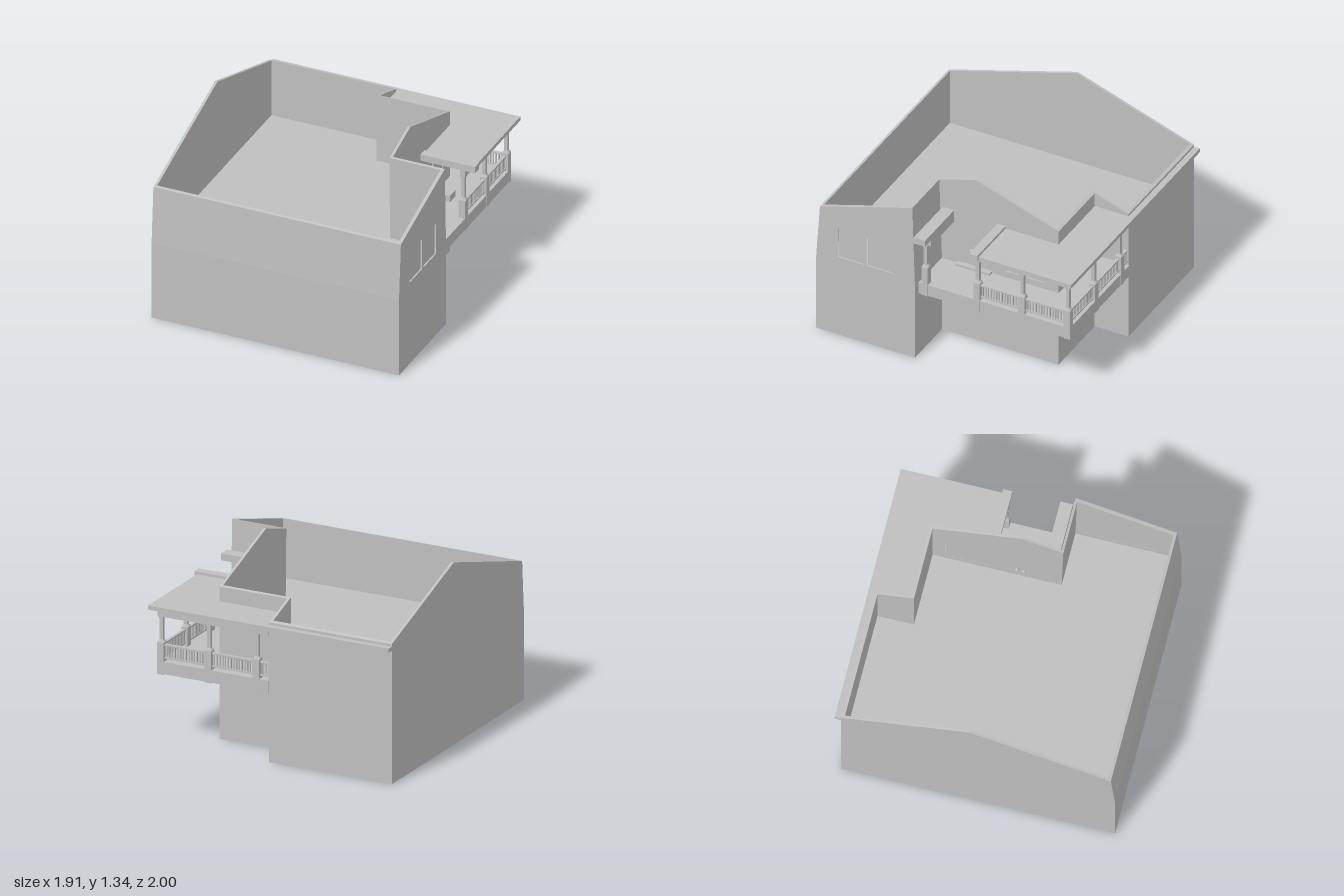
import * as THREE from 'three';

export function createModel() {
  const group = new THREE.Group();
  const plaster = new THREE.MeshStandardMaterial({ color: 0xbfbfbf });
  plaster.name = 'plain grey';

  const add = (name, geometry) => {
    const mesh = new THREE.Mesh(geometry, plaster);
    mesh.name = name;
    group.add(mesh);
    return mesh;
  };
  // box given by its limits on each axis
  const box = (name, x0, x1, y0, y1, z0, z1) =>
    add(name, new THREE.BoxGeometry(x1 - x0, y1 - y0, z1 - z0)
      .translate((x0 + x1) / 2, (y0 + y1) / 2, (z0 + z1) / 2));
  // flat slab from a plan outline of [x, z]
  const slab = (name, plan, y0, y1) => {
    const shape = new THREE.Shape(plan.map(([x, z]) => new THREE.Vector2(x, -z)));
    return add(name, new THREE.ExtrudeGeometry(shape, { depth: y1 - y0, bevelEnabled: false })
      .rotateX(-Math.PI / 2).translate(0, y0, 0));
  };
  // side profile of [z, y] extruded along x, holes as [z0, z1, y0, y1]
  const profile = (name, points, x0, x1, holes = []) => {
    const shape = new THREE.Shape(points.map(([z, y]) => new THREE.Vector2(-z, y)));
    for (const [z0, z1, y0, y1] of holes) {
      shape.holes.push(new THREE.Path([[z0, y0], [z1, y0], [z1, y1], [z0, y1]]
        .map(([z, y]) => new THREE.Vector2(-z, y))));
    }
    return add(name, new THREE.ExtrudeGeometry(shape, { depth: x1 - x0, bevelEnabled: false })
      .rotateY(Math.PI / 2).translate(x0, 0, 0));
  };

  // gable line
  const RIDGE = -0.04, FLOOR = 0.6;
  const top = z => 1.34 - (z > RIDGE ? 0.307 * (z - RIDGE) : 0.341 * (RIDGE - z));

  // foundation and floor share one plan
  const plan = [[-0.96, 1], [0.925, 1], [0.925, 0.225], [0.53, 0.225],
    [0.53, -0.69], [0, -0.69], [0, -0.955], [-0.96, -0.955]];
  slab('foundation', plan, 0, 0.51);
  slab('floor', plan, 0.51, FLOOR);

  // walls running front to back
  const frontEdge = [[1, FLOOR], [0.97, 1.03]];
  profile('leftGableWall', [[-0.955, FLOOR], ...frontEdge, [RIDGE, 1.34], [-0.955, top(-0.955)]], -0.96, -0.94);
  const frontWindows = [[0.62, 0.83, 0.65, 0.89], [0.39, 0.6, 0.65, 0.89]];
  profile('frontSideWall', [[0.225, FLOOR], ...frontEdge, [0.245, top(0.245)]], 0.9, 0.925, frontWindows);
  const porchWindows = [[-0.42, -0.28, 0.65, 0.87], [-0.58, -0.44, 0.65, 0.87]];
  profile('porchWall', [[-0.69, FLOOR], [0.23, FLOOR], [0.25, top(0.25)], [RIDGE, 1.34], [-0.69, top(-0.69)]],
    0.51, 0.53, porchWindows);
  profile('rearSideWall', [[-0.955, FLOOR], [-0.67, FLOOR], [-0.67, top(-0.67)], [-0.955, top(-0.955)]], -0.02, 0);

  // walls running left to right
  profile('frontWall', [[0.95, FLOOR], ...frontEdge, [0.95, top(0.95)]], -0.96, 0.925);
  profile('porchEndWall', [[0.225, FLOOR], [0.25, FLOOR], [0.262, top(0.262)], [0.245, top(0.245)]], 0.51, 0.925);
  profile('porchRearWall', [[-0.69, FLOOR], [-0.67, FLOOR], [-0.67, top(-0.67)], [-0.69, top(-0.69)]], -0.02, 0.53);
  profile('rearWall', [[-0.955, FLOOR], [-0.93, FLOOR], [-0.93, top(-0.93)], [-0.955, top(-0.955)]], -0.96, 0);

  // recessed window panes
  for (const [z0, z1, y0, y1] of frontWindows) box('windowPane', 0.902, 0.914, y0, y1, z0, z1);
  for (const [z0, z1, y0, y1] of porchWindows) box('windowPane', 0.512, 0.52, y0, y1, z0, z1);

  // door knobs on both faces of the wall, and the threshold
  for (const z of [-0.015, -0.065]) {
    for (const x of [0.495, 0.545]) {
      add('doorKnob', new THREE.SphereGeometry(0.014, 16, 12).translate(x, 0.745, z));
    }
    add('knobStem', new THREE.CylinderGeometry(0.005, 0.005, 0.05, 10).rotateZ(Math.PI / 2).translate(0.52, 0.745, z));
  }
  box('threshold', 0.53, 0.57, FLOOR, 0.617, -0.17, 0.1);

  // porch deck
  slab('deck', [[0.53, 0.225], [0.87, 0.225], [0.87, -0.96], [0, -0.96], [0, -0.69], [0.53, -0.69]], 0.51, FLOOR);

  // porch roof with its eave along the rear wall
  slab('porchRoof', [[0.53, -0.21], [0.925, -0.21], [0.925, -1], [-0.96, -1],
    [-0.96, -0.955], [0, -0.955], [0, -0.69], [0.53, -0.69]], 0.98, 1.01);
  box('roofEndBeam', 0.53, 0.945, 0.98, 1.03, -0.275, -0.21);
  box('entryBeam', 0.53, 0.953, 0.98, 1.03, 0.13, 0.22);
  box('entryBeamSupport', 0.53, 0.87, 0.935, 0.98, 0.13, 0.22);
  box('sideHeader', 0.83, 0.87, 0.93, 0.98, -0.96, -0.21);
  box('rearHeader', 0, 0.83, 0.93, 0.98, -0.96, -0.92);

  // porch posts on pedestals
  const sidePosts = [-0.23, -0.58, -0.937], rearPosts = [0.847, 0.475, 0.1];
  const post = (x, z) => {
    box('postPedestal', x - 0.025, x + 0.025, 0.505, 0.74, z - 0.025, z + 0.025);
    add('pedestalCap', new THREE.CylinderGeometry(0.018, 0.034, 0.02, 4).rotateY(Math.PI / 4).translate(x, 0.75, z));
    box('postShaft', x - 0.013, x + 0.013, 0.74, 0.935, z - 0.013, z + 0.013);
    box('postCapital', x - 0.018, x + 0.018, 0.915, 0.935, z - 0.018, z + 0.018);
  };
  post(0.847, 0.178);
  for (const z of sidePosts) post(0.847, z);
  for (const x of rearPosts.slice(1)) post(x, -0.937);

  // railing between two points, built along x and turned into place
  const railing = (xa, za, xb, zb) => {
    const length = Math.hypot(xb - xa, zb - za);
    const rail = new THREE.Group();
    rail.name = 'railing';
    const bar = (name, w, h, d, x, y) => {
      const mesh = new THREE.Mesh(new THREE.BoxGeometry(w, h, d), plaster);
      mesh.name = name;
      mesh.position.set(x, y, 0);
      rail.add(mesh);
    };
    bar('topRail', length, 0.012, 0.022, 0, 0.72);
    bar('bottomRail', length, 0.012, 0.018, 0, 0.626);
    const count = Math.max(2, Math.round(length / 0.022));
    for (let i = 0; i < count; i++) {
      bar('baluster', 0.01, 0.09, 0.01, ((i + 0.5) / count - 0.5) * length, 0.672);
    }
    rail.position.set((xa + xb) / 2, 0, (za + zb) / 2);
    rail.rotation.y = Math.atan2(za - zb, xb - xa);
    group.add(rail);
  };
  for (let i = 0; i < 2; i++) {
    railing(0.847, sidePosts[i] - 0.025, 0.847, sidePosts[i + 1] + 0.025);
    railing(rearPosts[i] - 0.025, -0.937, rearPosts[i + 1] + 0.025, -0.937);
  }
  railing(0.075, -0.937, 0, -0.937);

  return group;
}
